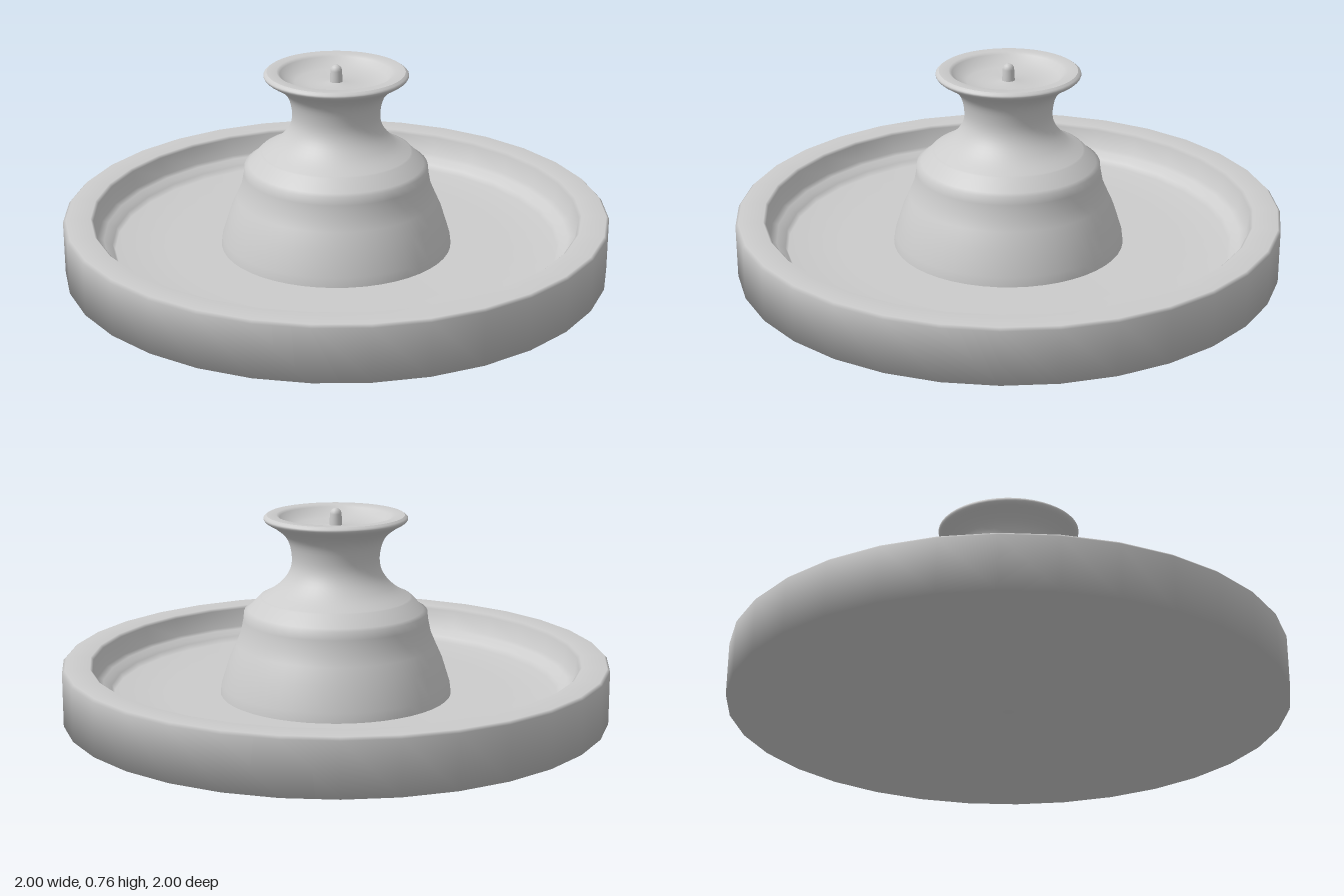
import * as THREE from 'three';

const material = new THREE.MeshStandardMaterial({ color: 0xcccccc, side: THREE.DoubleSide });

// Turn a list of [radius, height] pairs into a smooth round part.
function turned(name, profile, segments) {
  const points = profile.map(([r, y]) => new THREE.Vector2(r, y));
  const mesh = new THREE.Mesh(new THREE.LatheGeometry(points, segments), material);
  mesh.name = name;
  return mesh;
}

// Smooth a sparse profile with a spline.
function smooth(profile, divisions) {
  const curve = new THREE.SplineCurve(profile.map(([r, y]) => new THREE.Vector2(r, y)));
  return curve.getPoints(divisions).map((p) => [p.x, p.y]);
}

export function createModel() {
  const fountain = new THREE.Group();
  fountain.name = 'fountain';

  // Wide round basin: underside, outer wall, rim, stepped inner wall and floor
  fountain.add(turned('basin', [
    [0, 0], [1, 0], [1, 0.195], [0.99, 0.205], [0.9, 0.205], [0.89, 0.195],
    [0.88, 0.125], [0.855, 0.12], [0.845, 0.105], [0.825, 0.1], [0.815, 0.08],
    [0.6, 0.075], [0, 0.075],
  ], 32));

  // Flared, stepped foot of the pedestal
  fountain.add(turned('pedestalBase', [
    [0.425, 0.07], [0.42, 0.11], [0.39, 0.205], [0.365, 0.26], [0.348, 0.3],
    [0.338, 0.35], [0.335, 0.38], [0.32, 0.388], [0.28, 0.43], [0.262, 0.435],
  ], 48));

  // Waisted neck opening into the upper bowl
  fountain.add(turned('neck', smooth([
    [0.275, 0.43], [0.22, 0.465], [0.178, 0.51], [0.16, 0.56], [0.166, 0.62],
    [0.185, 0.66], [0.22, 0.69], [0.253, 0.71], [0.262, 0.724], [0.25, 0.735],
  ], 30), 48));

  // Rim and shallow inside of the upper bowl, rising a little to the jet
  fountain.add(turned('upperBowl', [
    [0.25, 0.735], [0.215, 0.735], [0.203, 0.727], [0.185, 0.708], [0.15, 0.694],
    [0.1, 0.69], [0.05, 0.691], [0.025, 0.697], [0, 0.7],
  ], 48));

  // Water spout with a rounded tip
  const tip = [0, 0.25, 0.5, 0.75, 1].map((t) => {
    const a = t * Math.PI / 2;
    return [0.021 * Math.cos(a), 0.738 + 0.021 * Math.sin(a)];
  });
  fountain.add(turned('spout', [[0.024, 0.685], ...tip], 16));

  return fountain;
}
